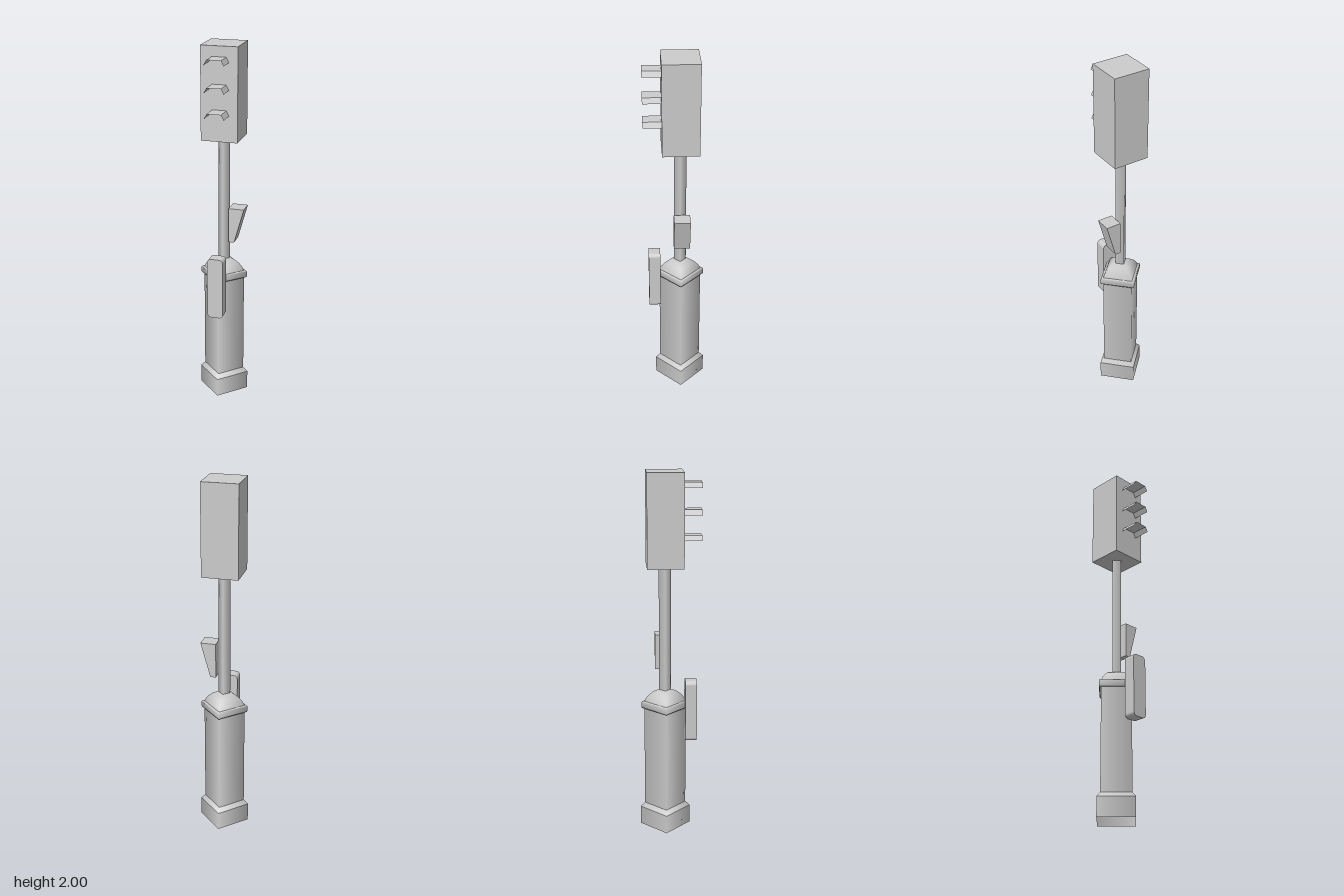
import * as THREE from 'three';

const AXIS_Z = -0.028; // centre line of the post and signal head

export function createModel() {
  const model = new THREE.Group();
  const grey = new THREE.MeshStandardMaterial({ color: 0xcccccc });
  const greyThin = new THREE.MeshStandardMaterial({ color: 0xcccccc, side: THREE.DoubleSide });

  const add = (name, geometry, material = grey, x = 0, y = 0, z = 0) => {
    const mesh = new THREE.Mesh(geometry, material);
    mesh.name = name;
    mesh.position.set(x, y, z);
    model.add(mesh);
    return mesh;
  };

  // Four-sided turned parts, corners on the axes, smooth around; profiles run [radius, y] upward
  const turned = (name, profile) => add(name,
    new THREE.LatheGeometry(profile.map(([r, y]) => new THREE.Vector2(r, y)), 4),
    greyThin, 0, 0, AXIS_Z);

  turned('plinth', [[0.14, 0], [0.14, 0.105]]);
  turned('plinthSlope', [[0.14, 0.105], [0.115, 0.13]]);
  turned('shaft', [[0.115, 0.13], [0.115, 0.705]]);
  turned('collar', [[0.115, 0.702], [0.127, 0.702], [0.132, 0.709], [0.132, 0.735], [0.127, 0.742], [0.115, 0.742]]);
  turned('dome', [[0.115, 0.742], [0.103, 0.764], [0.085, 0.784], [0.064, 0.799], [0.045, 0.807], [0.03, 0.81]]);
  turned('pole', [[0.033, 0.8], [0.033, 1.51]]);

  // Signal head
  add('signalHead', new THREE.BoxGeometry(0.199, 0.5, 0.196), grey, 0, 1.75, AXIS_Z);

  // Bent sheet visors over the three lamps
  const bend = [[-0.054, -0.028], [-0.038, 0], [0.038, 0], [0.053, -0.028]];
  const visorPositions = [];
  for (let i = 0; i < 3; i++) {
    const [x0, y0] = bend[i], [x1, y1] = bend[i + 1];
    visorPositions.push(
      x0, y0, 0, x0, y0, 0.097, x1, y1, 0.097,
      x0, y0, 0, x1, y1, 0.097, x1, y1, 0);
  }
  const visor = new THREE.BufferGeometry();
  visor.setAttribute('position', new THREE.Float32BufferAttribute(visorPositions, 3));
  visor.computeVertexNormals();
  ['top', 'middle', 'bottom'].forEach((which, i) =>
    add(which + 'Visor', visor, greyThin, 0, [1.945, 1.803, 1.669][i], 0.07));

  // Wedge-shaped box on the left of the pole
  const wedge = new THREE.Shape([[0.035, 0.917], [0.066, 0.917], [0.12, 1.112], [0.035, 1.112]]
    .map(([x, y]) => new THREE.Vector2(x, y)));
  add('sideBox', new THREE.ExtrudeGeometry(wedge, { depth: 0.088, bevelEnabled: false }), grey, 0, 0, -0.08);

  // Round-cornered panel on the front of the shaft
  const w = 0.044, h = 0.174, r = 0.022;
  const panel = new THREE.Shape();
  panel.absarc(w - r, h - r, r, 0, Math.PI / 2);
  panel.absarc(-w + r, h - r, r, Math.PI / 2, Math.PI);
  panel.absarc(-w + r, -h + r, r, Math.PI, Math.PI * 1.5);
  panel.absarc(w - r, -h + r, r, Math.PI * 1.5, Math.PI * 2);
  add('frontPanel', new THREE.ExtrudeGeometry(panel, { depth: 0.064, bevelEnabled: false, curveSegments: 4 }),
    grey, -0.002, 0.689, 0.082);

  return model;
}
